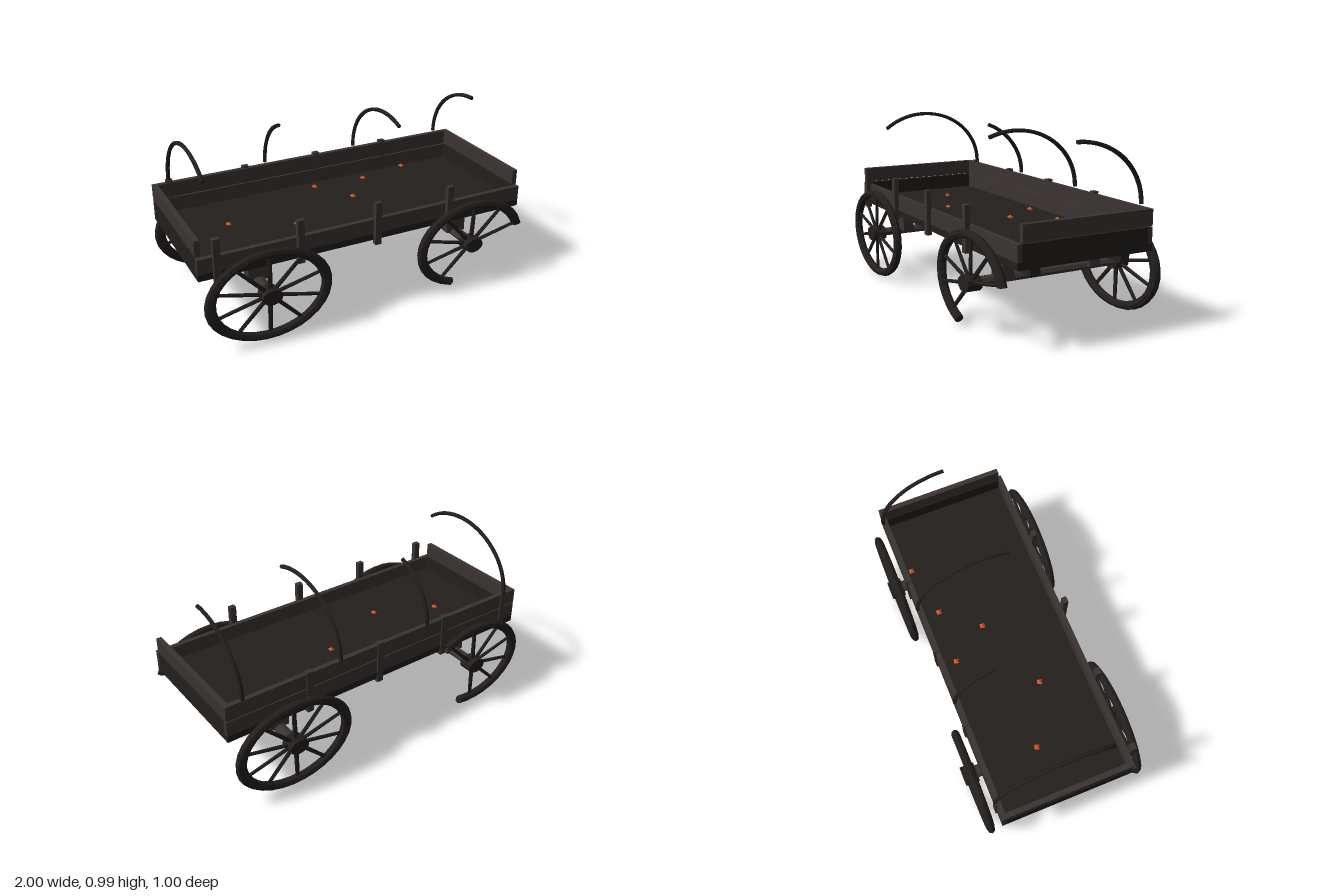
import * as THREE from 'three';

const char = new THREE.MeshStandardMaterial({ color: 0x3a3431, flatShading: true });
const dark = new THREE.MeshStandardMaterial({ color: 0x231f1d, flatShading: true, side: THREE.DoubleSide });
const glow = new THREE.MeshStandardMaterial({ color: 0xe0561e, flatShading: true });

export function createModel() {
  const model = new THREE.Group();

  const add = (name, geometry, material, x = 0, y = 0, z = 0, parent = model) => {
    const mesh = new THREE.Mesh(geometry, material);
    mesh.name = name;
    mesh.position.set(x, y, z);
    parent.add(mesh);
    return mesh;
  };
  // Box given by its lower and upper corners
  const box = (name, material, [x0, y0, z0], [x1, y1, z1]) =>
    add(name, new THREE.BoxGeometry(x1 - x0, y1 - y0, z1 - z0), material,
      (x0 + x1) / 2, (y0 + y1) / 2, (z0 + z1) / 2);

  // Bed: floor, side planks and end planks; the upper front plank is gone
  box('floor', dark, [-1, 0.417, -0.4], [1, 0.455, 0.4]);
  box('frontLowerPlank', char, [-1, 0.455, 0.372], [1, 0.543, 0.4]);
  box('backLowerPlank', char, [-1, 0.455, -0.4], [1, 0.543, -0.372]);
  box('backUpperPlank', char, [-1, 0.549, -0.4], [1, 0.637, -0.372]);
  for (const s of [-1, 1]) {
    const a = Math.min(s, s * 0.97), b = Math.max(s, s * 0.97);
    box('endLowerPlank', dark, [a, 0.455, -0.372], [b, 0.543, 0.372]);
    box('endUpperPlank', char, [a, 0.549, -0.372], [b, 0.637, 0.372]);
  }

  // Upright stakes along both sides
  for (const x of [-0.9, -0.433, 0.033, 0.5]) {
    box('frontStake', char, [x - 0.019, 0.395, 0.395], [x + 0.019, 0.65, 0.425]);
    box('backStake', char, [x - 0.019, 0.395, -0.408], [x + 0.019, 0.65, -0.378]);
  }

  // Underframe: two long beams, with a block over each axle
  for (const z of [-0.268, 0.268]) {
    box('beam', dark, [-0.95, 0.362, z - 0.028], [0.95, 0.417, z + 0.028]);
    for (const x of [-0.635, 0.635])
      box('axleBlock', char, [x - 0.06, 0.278, z - 0.033], [x + 0.06, 0.366, z + 0.033]);
  }

  // Axles
  for (const x of [-0.635, 0.635]) {
    const axle = add('axle', new THREE.CylinderGeometry(0.025, 0.025, 0.86, 8), char, x, 0.277, 0);
    axle.rotation.x = Math.PI / 2;
    axle.scale.x = 1.5;
  }

  // Wheels, stretched along x; two of them have lost part of the rim
  const R = 0.246, tube = 0.024, full = Math.PI * 2;
  const wheel = (x, z, start = 0.3, arc = full) => {
    const group = new THREE.Group();
    group.name = 'wheel';
    group.position.set(x, 0.275, z);
    group.scale.x = 1.35;
    model.add(group);
    const rim = add('rim', new THREE.TorusGeometry(R, tube, 8, Math.round(32 * arc / full), arc), dark, 0, 0, 0, group);
    rim.rotation.z = start;
    const hub = add('hub', new THREE.CylinderGeometry(0.043, 0.043, 0.083, 12), dark, 0, 0, 0, group);
    hub.rotation.x = Math.PI / 2;
    for (let i = 0; i < 10; i++) {
      const offset = i * full / 10;
      if (offset > arc) break;
      const a = start + offset + (arc < full ? 0.04 : 0);
      const spoke = add('spoke', new THREE.CylinderGeometry(0.009, 0.011, R, 6), dark,
        Math.cos(a) * R / 2, Math.sin(a) * R / 2, 0, group);
      spoke.rotation.z = a - Math.PI / 2;
    }
    if (arc < full) for (const a of [start, start + arc]) {
      const cap = add('rimEnd', new THREE.CircleGeometry(tube, 8), dark, Math.cos(a) * R, Math.sin(a) * R, 0, group);
      cap.rotation.set(Math.PI / 2, a, 0, 'ZXY');
      cap.rotation.set(Math.PI / 2, 0, a, 'ZXY');
    }
  };
  wheel(-0.635, 0.458);
  wheel(0.635, -0.458);
  wheel(0.635, 0.458, 0.24, full * 0.65);
  wheel(-0.635, -0.458, 0.89, full * 0.65);

  // Cover hoops rising from the back side, each broken off at a different angle
  for (const [x, degrees] of [[-0.9, 132], [-0.3, 66], [0.3, 114], [0.9, 91]]) {
    const points = [];
    for (let i = 0; i <= 16; i++) {
      const t = THREE.MathUtils.degToRad(degrees) * i / 16;
      points.push(new THREE.Vector3(0, 0.645 + 0.344 * Math.sin(t), -0.402 * Math.cos(t)));
    }
    const path = new THREE.CatmullRomCurve3(points);
    add('coverHoop', new THREE.TubeGeometry(path, 24, 0.012, 6), dark, x, 0, 0);
    for (const u of [0, 1]) {
      const end = add('hoopEnd', new THREE.CircleGeometry(0.012, 6), dark);
      end.position.copy(path.getPointAt(u)).setX(x);
      end.lookAt(end.position.clone().add(path.getTangentAt(u)));
    }
  }

  // Embers on the floor
  const embers = [[-0.67, -0.055], [-0.32, 0.11], [-0.02, -0.295], [0.13, -0.07], [0.31, -0.28], [0.625, -0.34]];
  embers.forEach(([x, z], i) => {
    const ember = add('ember', new THREE.OctahedronGeometry(0.02), glow, x, 0.465, z);
    ember.rotation.y = 0.4 + i * 0.1;
    ember.scale.y = 0.7;
  });

  return model;
}
